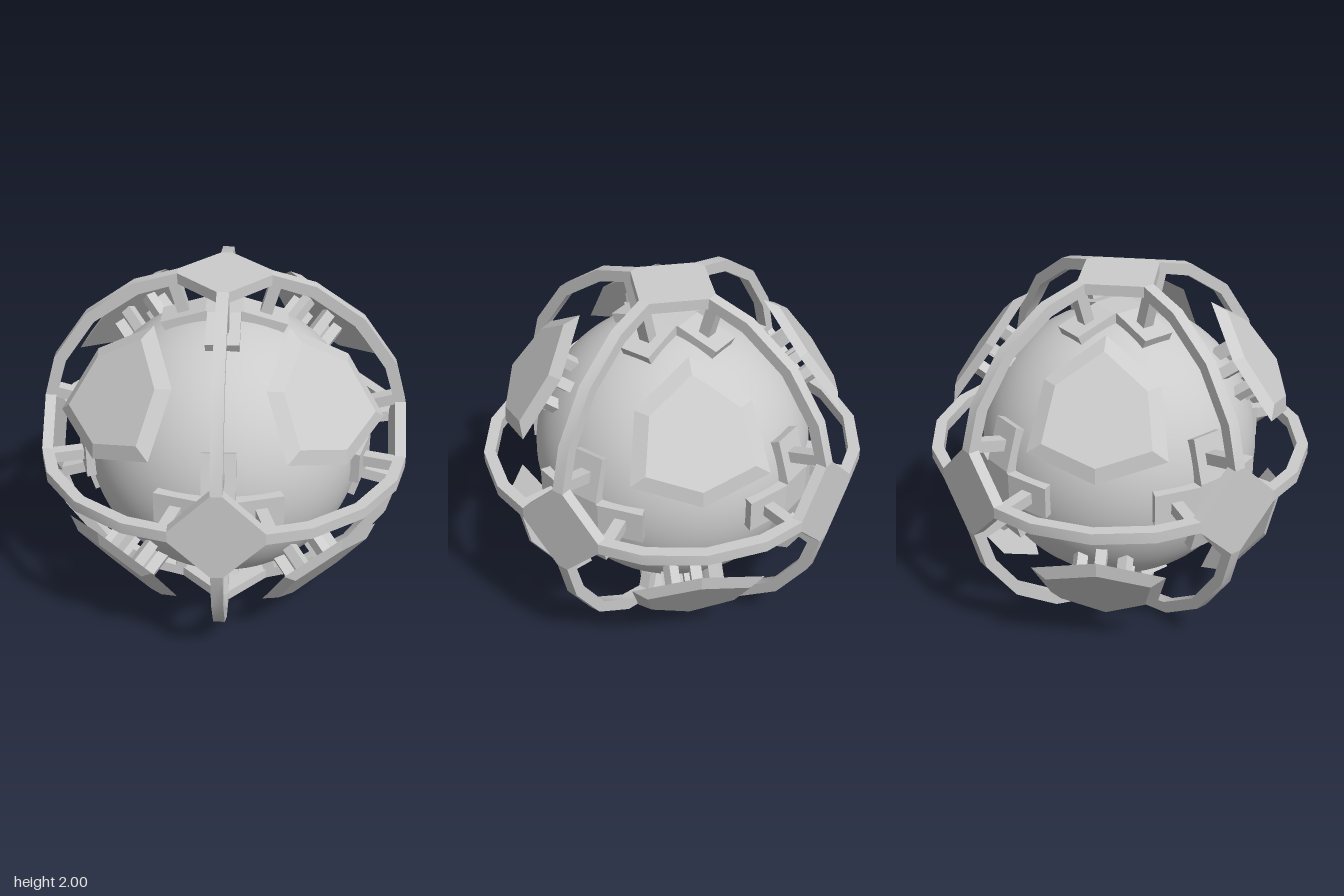
import * as THREE from 'three';
import { ConvexGeometry } from 'three/addons/geometries/ConvexGeometry.js';
import { toCreasedNormals } from 'three/addons/utils/BufferGeometryUtils.js';

const material = new THREE.MeshStandardMaterial({ color: 0xcccccc });
const flat = new THREE.MeshStandardMaterial({ color: 0xcccccc, flatShading: true });
const Z = new THREE.Vector3(0, 0, 1);
const BAR = 0.064;

function add(parent, name, geometry, mat = flat) {
  const mesh = new THREE.Mesh(geometry, mat);
  mesh.name = name;
  parent.add(mesh);
  return mesh;
}

// Extrudes an outline, centred on z = 0
function slab(points, depth) {
  const shape = new THREE.Shape(points.map(([x, y]) => new THREE.Vector2(x, y)));
  return new THREE.ExtrudeGeometry(shape, { depth, bevelEnabled: false }).translate(0, 0, -depth / 2);
}

export function createModel() {
  const root = new THREE.Group();
  const ball = new THREE.Group();
  ball.name = 'ball';
  ball.position.y = 1;
  root.add(ball);

  // Inner core, set back below the raised crosses
  add(ball, 'core', new THREE.SphereGeometry(0.768, 64, 40), material);

  // Cage: three rings of four arcs, each arc with two radial struts
  const arc = toCreasedNormals(slab([
    [0.25, 1], [0.484, 0.936], [0.75, 0.75], [0.936, 0.484], [1, 0.25],
    [0.94, 0.24], [0.874, 0.46], [0.705, 0.705], [0.46, 0.874], [0.24, 0.94],
  ], BAR), 0.7);
  const strut = new THREE.BoxGeometry(0.22, BAR, BAR);
  const ringTurns = [[0, 0, 0], [Math.PI / 2, 0, 0], [0, Math.PI / 2, 0]];
  for (const turn of ringTurns) {
    const ring = new THREE.Group();
    ring.name = 'cageRing';
    ring.rotation.set(...turn);
    ball.add(ring);
    for (let k = 0; k < 4; k++) {
      const quarter = new THREE.Group();
      quarter.name = 'cageQuarter';
      quarter.rotation.z = k * Math.PI / 2;
      ring.add(quarter);
      add(quarter, 'cageArc', arc, material);
      for (const degrees of [15.9, 74.1]) {
        const a = THREE.MathUtils.degToRad(degrees);
        const mesh = add(quarter, 'cageStrut', strut);
        mesh.position.set(Math.cos(a) * 0.88, Math.sin(a) * 0.88, 0);
        mesh.rotation.z = a;
      }
    }
  }

  // Diamond junction plates, with a raised cross on the core beneath each
  const b = BAR / 2;
  const plate = slab([
    [b, 0.25], [-b, 0.25], [-0.25, b], [-0.25, -b],
    [-b, -0.25], [b, -0.25], [0.25, -b], [0.25, b],
  ], 0.06);
  const crossBar = slab([
    [-0.3, 0.66], [0.3, 0.66], [0.34, 0.743], [0.1, 0.813], [-0.1, 0.813], [-0.34, 0.743],
  ], 0.18).rotateX(Math.PI / 2);
  for (const axis of [[1, 0, 0], [-1, 0, 0], [0, 1, 0], [0, -1, 0], [0, 0, 1], [0, 0, -1]]) {
    const pole = new THREE.Group();
    pole.name = 'pole';
    pole.quaternion.setFromUnitVectors(Z, new THREE.Vector3(...axis));
    ball.add(pole);
    add(pole, 'junctionPlate', plate).position.z = 0.97;
    add(pole, 'coreCross', crossBar);
    add(pole, 'coreCross', crossBar).rotation.z = Math.PI / 2;
  }

  // Bevelled six-sided armour panels, one per octant, on short posts
  const P = 0.85, p = 0.345, Q = 0.66, q = 0.24;
  const outline = [[P, p, p], [Q, Q, q], [p, P, p], [q, Q, Q], [p, p, P], [Q, q, Q]]
    .map((c) => new THREE.Vector3(...c));
  const diagonal = new THREE.Vector3(1, 1, 1).normalize();
  const inPlane = outline.map((v) => v.clone().addScaledVector(diagonal, -v.dot(diagonal)));
  const atHeight = (v, scale, h) => v.clone().multiplyScalar(scale).addScaledVector(diagonal, h);
  const panelPoints = inPlane.flatMap((v) => [atHeight(v, 1, 0.893), atHeight(v, 0.78, 0.937)]);
  const post = new THREE.BoxGeometry(0.06, 0.06, 0.18);

  for (const sx of [1, -1]) for (const sy of [1, -1]) for (const sz of [1, -1]) {
    const signs = new THREE.Vector3(sx, sy, sz);
    const armour = new THREE.Group();
    armour.name = 'armour';
    ball.add(armour);
    add(armour, 'armourPanel', new ConvexGeometry(panelPoints.map((v) => v.clone().multiply(signs))));
    const n = diagonal.clone().multiply(signs);
    for (const v of inPlane) {
      const u = v.clone().normalize().multiply(signs);
      const mesh = add(armour, 'panelPost', post);
      const side = new THREE.Vector3().crossVectors(n, u);
      mesh.quaternion.setFromRotationMatrix(new THREE.Matrix4().makeBasis(u, side, n));
      mesh.position.copy(n).multiplyScalar(0.815).addScaledVector(u, 0.14);
    }
  }
  return root;
}
